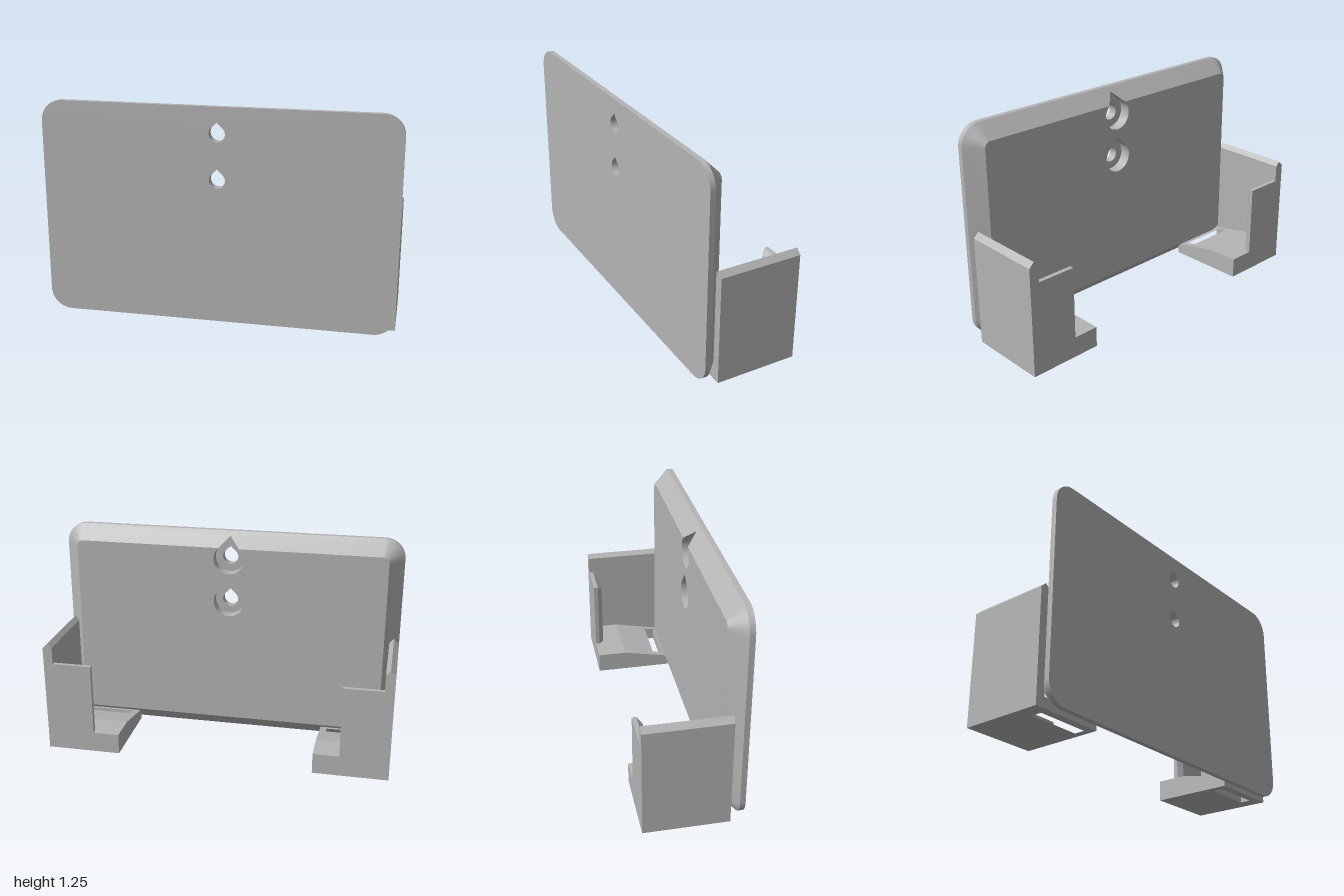
import * as THREE from 'three';
import { mergeGeometries, toCreasedNormals } from 'three/addons/utils/BufferGeometryUtils.js';

const W = 1, H = 1.245, R = 0.12, INSET = 0.085;           // plate half width, height, corner, chamfer
const Z_BACK = 0.16, Z_FLOOR = 0.225, Z_RIM = 0.245, Z_FRONT = 0.275;
const Y_EDGE = H - INSET;                                  // top edge of the flat back

const V = (x, y) => new THREE.Vector2(x, y);
const arc = (cx, cy, r, from, to, n) => Array.from({ length: n + 1 }, (_, i) => {
  const a = THREE.MathUtils.degToRad(from + (to - from) * i / n);
  return V(cx + r * Math.cos(a), cy + r * Math.sin(a));
});

// Rounded rectangle, counter-clockwise, starting at the left end of its top edge
function outline(inset) {
  const cx = W - R, top = H - R, r = R - inset;
  return [...arc(-cx, top, r, 90, 180, 10), ...arc(-cx, R, r, 180, 270, 10),
    ...arc(cx, R, r, 270, 360, 10), ...arc(cx, top, r, 0, 90, 10)];
}

// Teardrop: apex first, then the round part from left to right
const teardrop = (cy, r) => [V(0, cy + r * Math.SQRT2), ...arc(0, cy, r, 135, 405, 30)];

// Wall between two heights along a loop; zA and zB give z from a point
function loft(a, zA, b, zB, closed = true) {
  const pos = [];
  const n = a.length;
  for (let i = 0; i < (closed ? n : n - 1); i++) {
    const j = (i + 1) % n;
    const p = [a[i].x, a[i].y, zA(a[i])], q = [a[j].x, a[j].y, zA(a[j])];
    const s = [b[j].x, b[j].y, zB(b[j])], t = [b[i].x, b[i].y, zB(b[i])];
    pos.push(...p, ...q, ...s, ...p, ...s, ...t);
  }
  const g = new THREE.BufferGeometry();
  g.setAttribute('position', new THREE.Float32BufferAttribute(pos, 3));
  return g;
}

function makeShape(pts, holes = []) {
  const s = new THREE.Shape(pts);
  s.holes = holes.map(h => new THREE.Path(h));
  return s;
}

// Flat face; back = true turns it towards -z
function face(pts, holes, z, back) {
  const g = new THREE.ShapeGeometry(makeShape(pts, holes)).toNonIndexed();
  const p = g.attributes.position;
  for (let i = 0; i < p.count; i++) p.setZ(i, z(V(p.getX(i), p.getY(i))));
  if (back) {
    for (let i = 0; i < p.count; i += 3) {
      const a = new THREE.Vector3().fromBufferAttribute(p, i + 1);
      const b = new THREE.Vector3().fromBufferAttribute(p, i + 2);
      p.setXYZ(i + 1, b.x, b.y, b.z);
      p.setXYZ(i + 2, a.x, a.y, a.z);
    }
  }
  g.deleteAttribute('uv');
  g.deleteAttribute('normal');
  return g;
}

function plateGeometry() {
  const at = z => () => z;
  const slope = p => Z_BACK + Math.max(0, p.y - Y_EDGE);
  const outer = outline(0), inner = outline(INSET);
  const centres = [1.095, 0.835];
  const holes = centres.map(y => teardrop(y, 0.045));
  const pockets = centres.map(y => teardrop(y, 0.0884));
  // The upper pocket breaks through the top chamfer
  const apex = pockets[0][0], half = apex.y - Y_EDGE;
  const round = pockets[0].slice(1);
  const right = V(half, Y_EDGE), left = V(-half, Y_EDGE);
  const upper = [apex, left, ...round, right];
  const cx = W - R;
  const parts = [
    face(outer, holes, at(Z_FRONT), false),
    loft(outer, at(Z_RIM), outer, at(Z_FRONT)),
    loft(inner, at(Z_BACK), outer, at(Z_RIM), false),
    face([V(-cx, Y_EDGE), left, apex, right, V(cx, Y_EDGE), V(cx, H), V(-cx, H)], [], slope, true),
    face([...inner, right, ...[...round].reverse(), left], [pockets[1]], at(Z_BACK), true),
  ];
  // Stepped screw holes
  [upper, pockets[1]].forEach((pocket, i) => {
    const wall = [...pocket].reverse(), bore = [...holes[i]].reverse();
    parts.push(loft(wall, slope, wall, at(Z_FLOOR)));
    parts.push(face(pocket, [holes[i]], at(Z_FLOOR), true));
    parts.push(loft(bore, at(Z_FLOOR), bore, at(Z_FRONT)));
  });
  return toCreasedNormals(mergeGeometries(parts), 0.5);
}

// Extrude, then move the vertices by an optional rule
function extrude(shape, depth, place, rule) {
  const g = new THREE.ExtrudeGeometry(shape, { depth, bevelEnabled: false });
  place(g);
  if (rule) {
    const p = g.attributes.position, v = new THREE.Vector3();
    for (let i = 0; i < p.count; i++) {
      v.fromBufferAttribute(p, i);
      rule(v);
      p.setXYZ(i, v.x, v.y, v.z);
    }
    g.computeVertexNormals();
  }
  return g;
}

function makeBracket(s, material) {
  const group = new THREE.Group();
  const add = (name, geometry) => {
    const m = new THREE.Mesh(geometry, material);
    m.name = name;
    group.add(m);
  };
  const rect = (x0, x1, y0, y1) => [V(s * x0, y0), V(s * x1, y0), V(s * x1, y1), V(s * x0, y1)];
  const upright = g => g.rotateX(-Math.PI / 2);

  // Outer wall with a ridged top
  const profile = [V(s * 0.945, 0), V(s, 0), V(s, 0.635), V(s * 0.97, 0.665), V(s * 0.945, 0.64)];
  add('sideWall', extrude(makeShape(profile), 0.472, g => g.translate(0, 0, -0.275)));

  // Rear lip: flat outside, chamfered on the inner top and end
  const lip = makeShape(rect(0.72, 0.95, 0, 0.54));
  add('rearLip', extrude(lip, 0.025, g => g.translate(0, 0, -0.275)));
  add('rearLipChamfer', extrude(lip, 0.027, g => g.translate(0, 0, -0.25), v => {
    if (v.z < -0.24) return;
    if (Math.abs(v.x) < 0.8) v.x = s * 0.747;
    if (v.y > 0.3) v.y = 0.513;
  }));

  // Base: level at the rear, sloping down to the front around a slot
  add('baseRear', extrude(makeShape(rect(0.57, 0.95, 0.1, 0.275)), 0.12, upright));
  const front = makeShape(rect(0.57, 0.95, -0.197, 0.1), [rect(0.61, 0.915, -0.15, -0.09)]);
  add('baseFront', extrude(front, 0.12, upright, v => {
    if (v.y > 0.06) v.y = 0.12 - 0.2 * (v.z + 0.1);
  }));
  return group;
}

export function createModel() {
  const grey = new THREE.MeshStandardMaterial({ color: 0xb4b4b4 });
  grey.name = 'grey';
  const model = new THREE.Group();
  model.name = 'wallHolder';
  const plate = new THREE.Mesh(plateGeometry(), grey);
  plate.name = 'backPlate';
  model.add(plate);
  for (const s of [1, -1]) {
    const bracket = makeBracket(s, grey);
    bracket.name = s > 0 ? 'leftBracket' : 'rightBracket';
    model.add(bracket);
  }
  return model;
}
